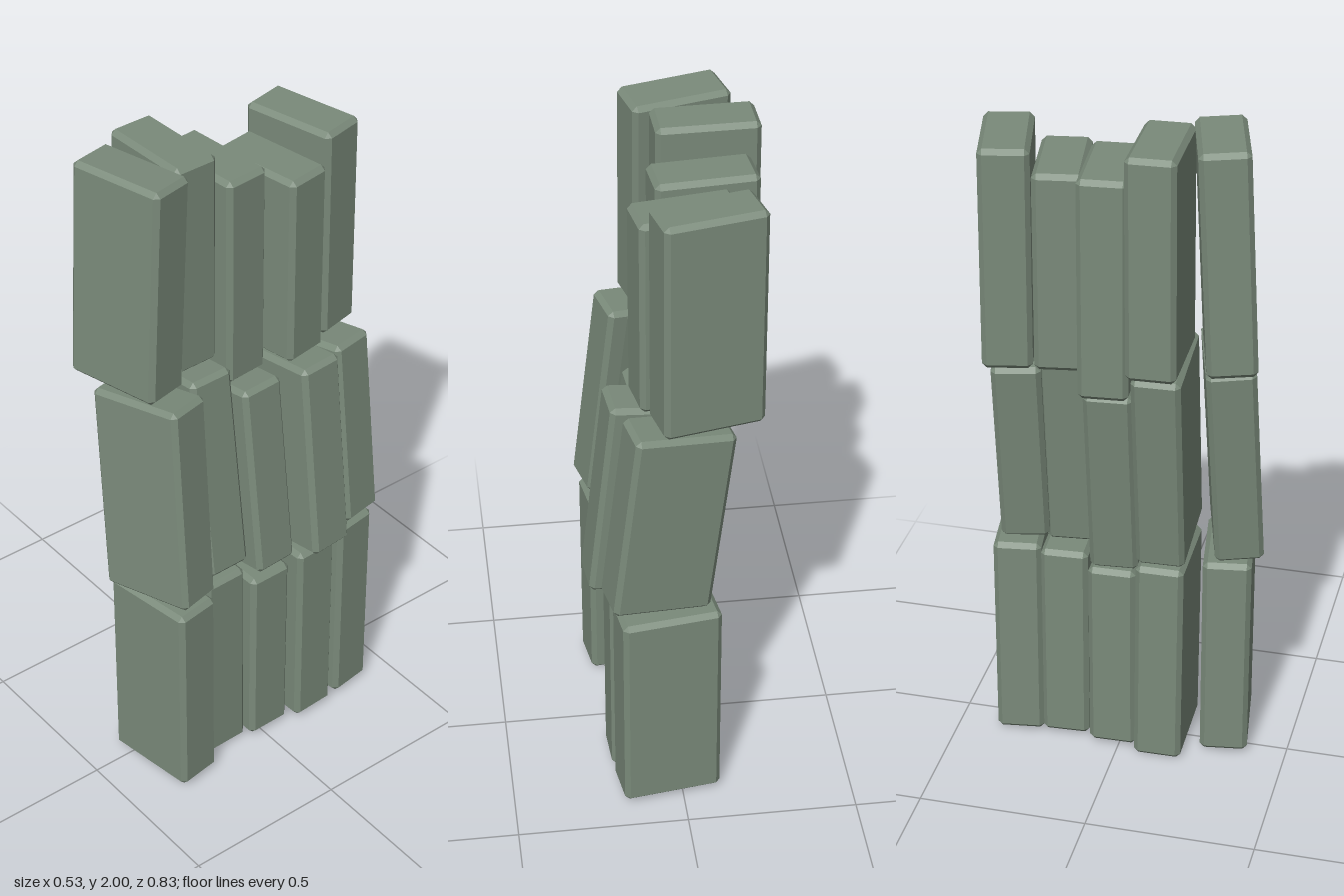
import * as THREE from 'three';
import { ConvexGeometry } from 'three/addons/geometries/ConvexGeometry.js';

const WIDTH = 0.29, DEPTH = 0.142, CHAMFER = 0.014;

// Box with every edge and corner cut flat: three points per corner
function chamferedBox(w, h, d, c) {
  const points = [];
  for (const sx of [-1, 1]) for (const sy of [-1, 1]) for (const sz of [-1, 1]) {
    const x = w / 2, y = h / 2, z = d / 2;
    points.push(
      new THREE.Vector3(sx * x, sy * (y - c), sz * (z - c)),
      new THREE.Vector3(sx * (x - c), sy * y, sz * (z - c)),
      new THREE.Vector3(sx * (x - c), sy * (y - c), sz * z));
  }
  return new ConvexGeometry(points);
}

// Block standing between the centres of its bottom and top faces, turned by yaw degrees
function makeBlock(bottom, top, yaw, material) {
  const up = top.clone().sub(bottom);
  const height = up.length();
  up.normalize();
  const a = THREE.MathUtils.degToRad(yaw);
  const side = new THREE.Vector3(Math.cos(a), 0, -Math.sin(a));
  side.addScaledVector(up, -side.dot(up)).normalize();
  const front = new THREE.Vector3().crossVectors(side, up);
  const mesh = new THREE.Mesh(chamferedBox(WIDTH, height, DEPTH, CHAMFER), material);
  mesh.quaternion.setFromRotationMatrix(new THREE.Matrix4().makeBasis(side, up, front));
  mesh.position.copy(bottom).add(top).multiplyScalar(0.5);
  return mesh;
}

// Each block: bottom centre x, y, z, top centre x, y, z, yaw
const layers = {
  lower: [
    [0.04, 0.01, -0.325, 0.04, 0.665, -0.325, 8],
    [0.055, 0.01, -0.175, 0.055, 0.65, -0.175, 3],
    [0.035, 0.01, -0.02, 0.035, 0.62, -0.022, 1],
    [0.01, 0.0, 0.123, 0.01, 0.66, 0.127, 1],
    [0.075, 0.01, 0.295, 0.075, 0.665, 0.295, 8.5],
  ],
  middle: [
    [0.073, 0.69, -0.315, 0.003, 1.28, -0.315, 11],
    [0.118, 0.67, -0.175, 0.048, 1.29, -0.175, 5],
    [0.05, 0.635, -0.025, -0.025, 1.24, -0.025, 4],
    [0.025, 0.68, 0.125, -0.057, 1.32, 0.125, 1.5],
    [0.09, 0.685, 0.312, 0.018, 1.325, 0.29, 15],
  ],
  upper: [
    [-0.07, 1.3, -0.319, -0.07, 1.955, -0.317, 12.5],
    [-0.028, 1.29, -0.172, -0.028, 1.88, -0.172, 9],
    [-0.095, 1.25, -0.022, -0.095, 1.905, -0.022, 5],
    [-0.12, 1.335, 0.127, -0.12, 1.99, 0.123, 1.5],
    [-0.053, 1.338, 0.31, -0.055, 1.996, 0.277, 14.5],
  ],
};

export function createModel() {
  const model = new THREE.Group();
  model.name = 'blockStack';
  const material = new THREE.MeshStandardMaterial({ color: 0x7a8a7a, flatShading: true });

  // Three stacked layers of five blocks, listed from back to front
  for (const [name, blocks] of Object.entries(layers)) {
    const layer = new THREE.Group();
    layer.name = name + 'Layer';
    blocks.forEach(([bx, by, bz, tx, ty, tz, yaw], i) => {
      const block = makeBlock(new THREE.Vector3(bx, by, bz), new THREE.Vector3(tx, ty, tz), yaw, material);
      block.name = `${name}Block${i + 1}`;
      layer.add(block);
    });
    model.add(layer);
  }
  return model;
}
